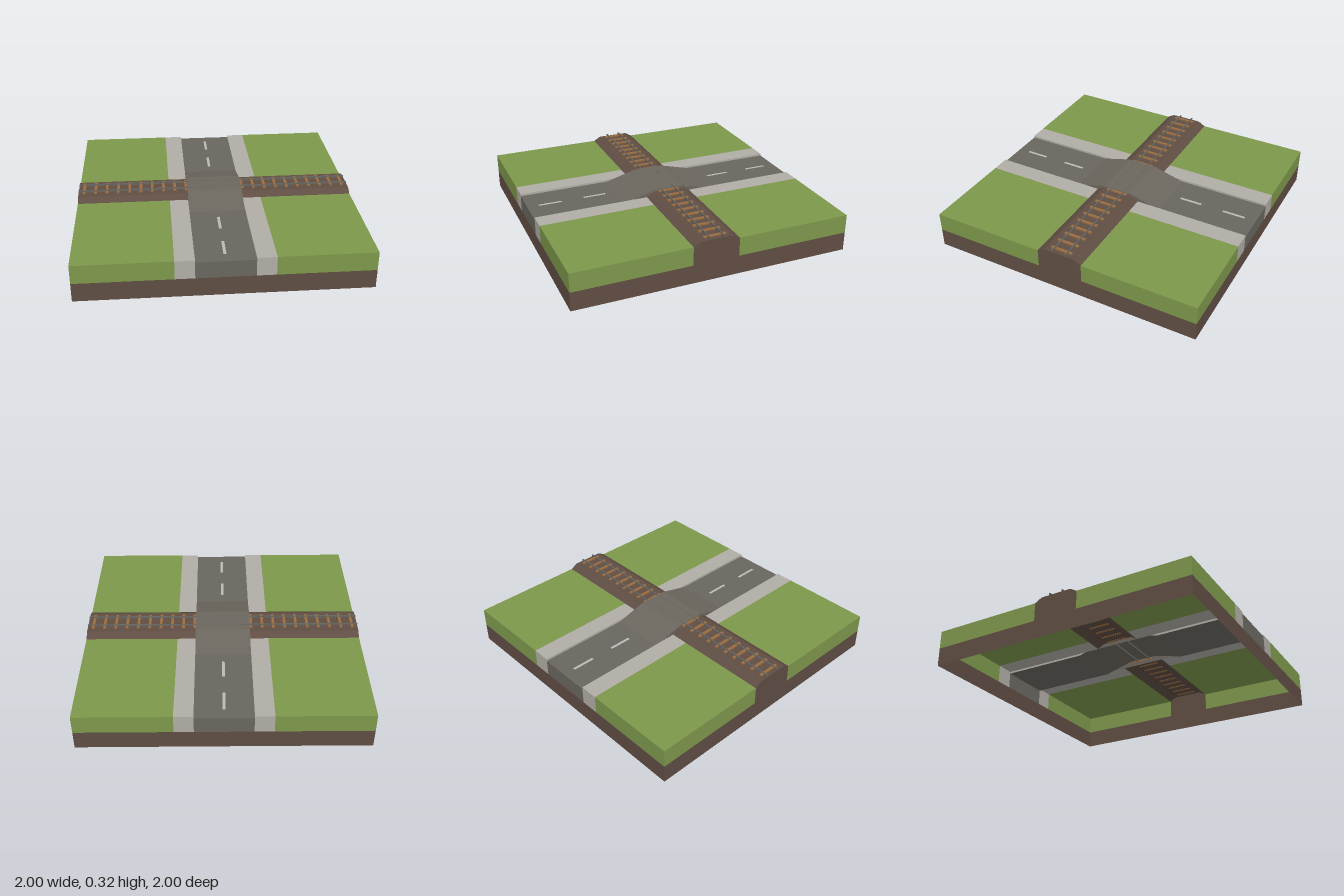
import * as THREE from 'three';

const COLORS = {
  soil: 0x5f4d43, grass: 0x7d974b, pavement: 0xb0aca5, road: 0x69665f,
  hump: 0x6b665d, tie: 0x9a6c40, rail: 0x66645f, line: 0xb8b8b6,
};
const materials = {};
for (const [key, color] of Object.entries(COLORS)) {
  materials[key] = new THREE.MeshStandardMaterial({ color, flatShading: true, side: THREE.DoubleSide });
}

// Key levels and widths
const MID = 0.135, TOP = 0.27, ROAD_Y = 0.255, HUMP_Y = 0.315, BED_Y = 0.3;
const ROAD = 0.2, WALK = 0.333, BED = 0.167, BED_TOP = 0.115;
const RAMP = 0.333, CREST = 0.11, RAMP_AT_TOP = 0.277;

export function createModel() {
  const model = new THREE.Group();
  model.name = 'levelCrossing';

  // Surface spanned between two matching rows of points, facing away from the core
  const core = new THREE.Vector3(0, 0.1, 0);
  function strip(name, mat, rowA, rowB) {
    const A = rowA.map((p) => new THREE.Vector3(...p));
    const B = rowB.map((p) => new THREE.Vector3(...p));
    const points = [];
    const tri = new THREE.Triangle();
    const n = new THREE.Vector3(), c = new THREE.Vector3();
    const add = (a, b, d) => {
      tri.set(a, b, d);
      if (tri.getArea() < 1e-9) return;
      tri.getNormal(n);
      tri.getMidpoint(c).sub(core);
      points.push(...(n.dot(c) < 0 ? [a, d, b] : [a, b, d]));
    };
    for (let i = 0; i < A.length - 1; i++) {
      add(A[i], B[i], B[i + 1]);
      add(A[i], B[i + 1], A[i + 1]);
    }
    const geometry = new THREE.BufferGeometry().setFromPoints(points);
    geometry.computeVertexNormals();
    const mesh = new THREE.Mesh(geometry, materials[mat]);
    mesh.name = name;
    model.add(mesh);
  }

  function box(name, mat, size, pos) {
    const mesh = new THREE.Mesh(new THREE.BoxGeometry(...size), materials[mat]);
    mesh.name = name;
    mesh.position.set(...pos);
    model.add(mesh);
  }

  const wallZ = (name, mat, x0, x1, y0, y1, z) =>
    strip(name, mat, [[x0, y0, z], [x1, y0, z]], [[x0, y1, z], [x1, y1, z]]);
  const wallX = (name, mat, z0, z1, y0, y1, x) =>
    strip(name, mat, [[x, y0, z0], [x, y0, z1]], [[x, y1, z0], [x, y1, z1]]);
  const top = (name, mat, x0, x1, z0, z1, y) =>
    strip(name, mat, [[x0, y, z0], [x0, y, z1]], [[x1, y, z0], [x1, y, z1]]);

  for (const s of [-1, 1]) {
    // Open-bottomed soil skirt, with the road cut end above it
    wallZ('soilWall', 'soil', -1, 1, 0, MID, s);
    wallX('soilWall', 'soil', -1, 1, 0, MID, s);
    wallZ('roadEnd', 'road', -ROAD, ROAD, MID, ROAD_Y, s);
    wallX('embankmentEnd', 'soil', -BED, BED, MID, TOP, s);

    // Lawn, pavement and curb in each quarter
    for (const t of [-1, 1]) {
      wallZ('grassEdge', 'grass', s * WALK, s, MID, TOP, t);
      wallX('grassEdge', 'grass', t * BED, t, MID, TOP, s);
      top('lawn', 'grass', s * WALK, s, t * BED, t, TOP);
      wallZ('pavementEnd', 'pavement', s * ROAD, s * WALK, MID, TOP, t);
      top('pavement', 'pavement', s * ROAD, s * WALK, t * BED, t, TOP);
      const x = s * ROAD;
      strip('curb', 'pavement',
        [[x, ROAD_Y, t], [x, ROAD_Y, t * RAMP]], [[x, TOP, t], [x, TOP, t * RAMP_AT_TOP]]);
    }

    // Railway embankment on each side of the road
    const bed = [[-BED, TOP], [-BED_TOP, BED_Y], [BED_TOP, BED_Y], [BED, TOP]];
    const bedRow = (x) => bed.map(([z, y]) => [x, y, z]);
    strip('embankment', 'soil', bedRow(s * ROAD), bedRow(s));
    strip('embankmentEndCap', 'soil', bed.map(([z]) => [s, TOP, z]), bedRow(s));

    // Side of the road hump
    const side = [[-RAMP_AT_TOP, TOP], [-CREST, HUMP_Y], [CREST, HUMP_Y], [RAMP_AT_TOP, TOP]];
    strip('humpSide', 'hump',
      side.map(([z]) => [s * ROAD, TOP, z]), side.map(([z, y]) => [s * ROAD, y, z]));

    // Flat road with its centre dashes
    top('road', 'road', -ROAD, ROAD, s * RAMP, s, ROAD_Y);
    for (const z of [0.5, 0.833]) {
      top('centreDash', 'line', -0.01, 0.01, s * (z - 0.083), s * (z + 0.083), ROAD_Y + 0.002);
    }

    // Rail, flush with the crest of the hump
    box('rail', 'rail', [2, 0.014, 0.009], [0, HUMP_Y - 0.006, s * 0.05]);
  }

  // Road hump over the railway
  const hump = [[-RAMP, ROAD_Y], [-CREST, HUMP_Y], [CREST, HUMP_Y], [RAMP, ROAD_Y]];
  const humpRow = (x) => hump.map(([z, y]) => [x, y, z]);
  strip('roadHump', 'hump', humpRow(-ROAD), humpRow(ROAD));

  // Sleepers
  for (let i = 0; i < 24; i++) {
    const x = -1 + (i + 0.5) / 12;
    if (Math.abs(x) > ROAD) box('sleeper', 'tie', [0.02, 0.012, 0.16], [x, BED_Y + 0.004, 0]);
  }

  return model;
}
